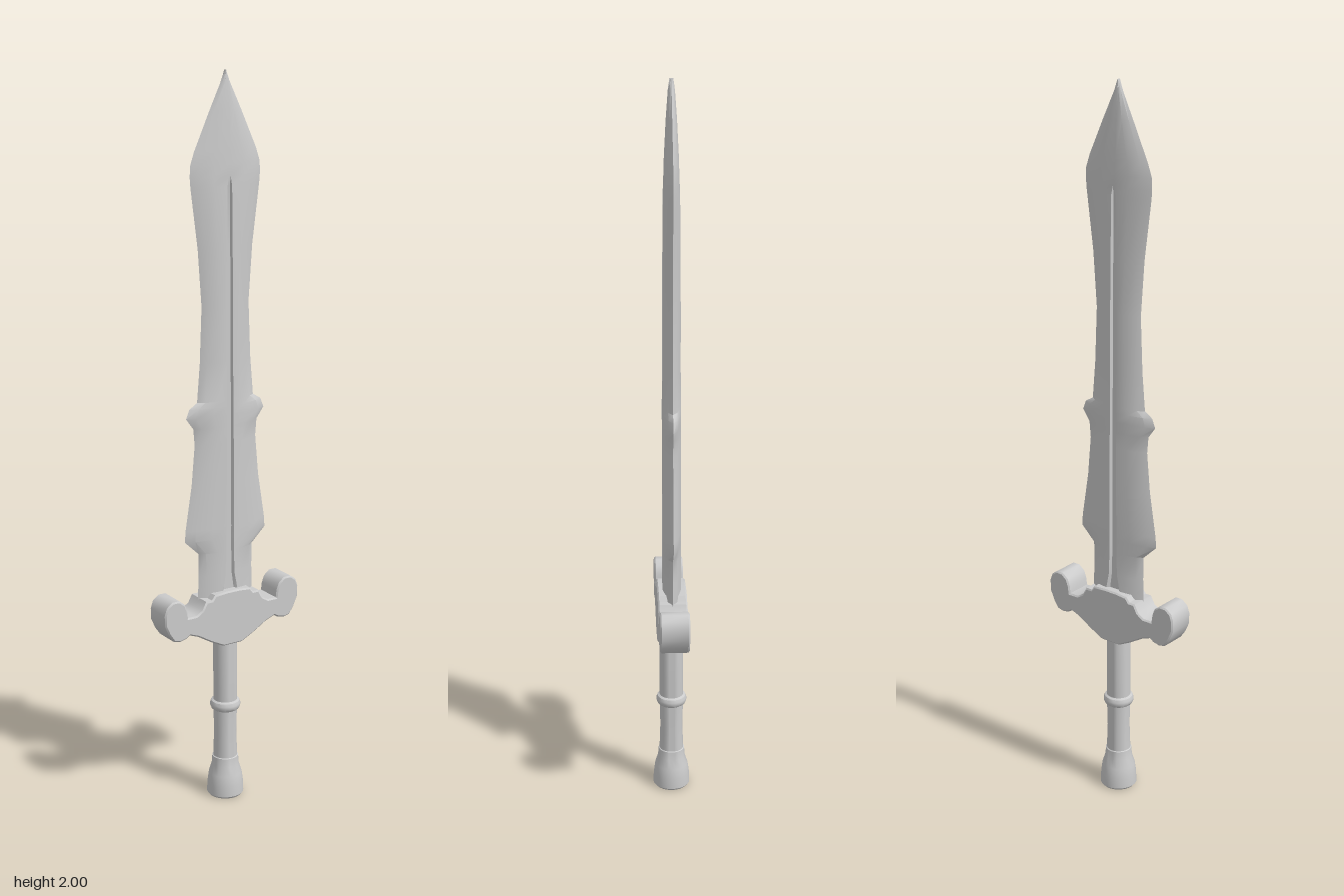
import * as THREE from 'three';
import { toCreasedNormals, mergeVertices } from 'three/addons/utils/BufferGeometryUtils.js';

const material = new THREE.MeshStandardMaterial({ color: 0xcccccc });

function addPart(group, name, geometry, crease = 0.6) {
  const mesh = new THREE.Mesh(toCreasedNormals(geometry, crease), material);
  mesh.name = name;
  group.add(mesh);
}

// Blade: lens-shaped cross-sections with a narrow fuller on both faces.
// Each row: height, half width, half thickness, fuller half width, fuller depth
function bladeGeometry() {
  const rows = [
    [0.54, 0.087, 0.025, 0.024, 0.008], [0.62, 0.087, 0.025, 0.022, 0.008],
    [0.66, 0.085, 0.025, 0.014, 0.008], [0.725, 0.086, 0.025, 0.012, 0.008],
    [0.765, 0.128, 0.025, 0.012, 0.008], [0.795, 0.126, 0.025, 0.012, 0.008],
    [0.92, 0.106, 0.025, 0.011, 0.008], [1.03, 0.096, 0.025, 0.011, 0.008],
    [1.075, 0.1, 0.025, 0.01, 0.008], [1.105, 0.122, 0.025, 0.01, 0.008],
    [1.13, 0.112, 0.025, 0.01, 0.008], [1.145, 0.088, 0.025, 0.01, 0.008],
    [1.25, 0.079, 0.024, 0.009, 0.008], [1.4, 0.073, 0.024, 0.009, 0.008],
    [1.55, 0.084, 0.023, 0.008, 0.008], [1.71, 0.105, 0.022, 0.007, 0.008],
    [1.735, 0.107, 0.021, 0.003, 0], [1.765, 0.106, 0.02, 0.003, 0],
    [1.8, 0.094, 0.019, 0.003, 0], [1.9, 0.048, 0.014, 0.003, 0],
    [1.97, 0.014, 0.009, 0.002, 0], [2.0, 0.001, 0.005, 0.0003, 0],
  ];
  const points = [], index = [];
  for (const [y, w, t, g, d] of rows) {
    const half = [[w, 0], [w * 0.8, t * 0.48], [w * 0.42, t * 0.87],
      [g, t], [g * 0.7, t - d], [-g * 0.7, t - d], [-g, t],
      [-w * 0.42, t * 0.87], [-w * 0.8, t * 0.48]];
    for (const s of [1, -1]) for (const [x, z] of half) points.push(s * x, y, s * z);
  }
  const n = 18;
  for (let i = 0; i < rows.length - 1; i++) {
    for (let j = 0; j < n; j++) {
      const a = i * n + j, b = i * n + (j + 1) % n;
      index.push(a, a + n, b, b, a + n, b + n);
    }
  }
  const top = (rows.length - 1) * n;
  for (let j = 1; j < n - 1; j++) {
    index.push(0, j, j + 1, top, top + j + 1, top + j);
  }
  const geometry = new THREE.BufferGeometry();
  geometry.setAttribute('position', new THREE.Float32BufferAttribute(points, 3));
  geometry.setIndex(index);
  return geometry;
}

// Crossguard: mirrored outline with a rounded knob at each end
function guardGeometry() {
  const right = [
    [0.03, 0.462], [0.07, 0.482], [0.11, 0.506], [0.137, 0.516], [0.15, 0.508],
    [0.168, 0.504], [0.186, 0.508], [0.2, 0.528], [0.212, 0.555], [0.213, 0.585],
    [0.206, 0.605], [0.19, 0.617], [0.17, 0.617], [0.154, 0.604], [0.147, 0.585],
    [0.144, 0.563], [0.115, 0.563], [0.095, 0.575], [0.083, 0.597], [0.065, 0.597],
    [0.055, 0.61], [0.02, 0.613],
  ];
  const left = right.map(([x, y]) => [-x, y]).reverse();
  const shape = new THREE.Shape([...right, ...left].map(([x, y]) => new THREE.Vector2(x, y)));
  const geometry = new THREE.ExtrudeGeometry(shape, {
    depth: 0.072, bevelEnabled: true, bevelThickness: 0.004, bevelSize: 0.004,
    bevelOffset: -0.002, bevelSegments: 1,
  });
  geometry.translate(0, 0, -0.036);
  geometry.deleteAttribute('uv');
  geometry.deleteAttribute('normal');
  return mergeVertices(geometry);
}

function lathe(profile, sides = 24) {
  return new THREE.LatheGeometry(profile.map(([r, y]) => new THREE.Vector2(r, y)), sides);
}

export function createModel() {
  const group = new THREE.Group();
  group.name = 'sword';
  addPart(group, 'blade', bladeGeometry(), 0.5);
  addPart(group, 'crossguard', guardGeometry(), 0.75);
  // Grip, slightly waisted below the ring
  addPart(group, 'grip', lathe([[0.034, 0.1], [0.031, 0.19], [0.033, 0.27], [0.033, 0.48]]));
  addPart(group, 'gripRing', lathe([
    [0.032, 0.255], [0.039, 0.26], [0.042, 0.268], [0.042, 0.274], [0.039, 0.282], [0.032, 0.286],
  ]));
  // Flared pommel with a shallow hollow underneath
  addPart(group, 'pommel', lathe([
    [0, 0.006], [0.034, 0.004], [0.046, 0], [0.051, 0.006], [0.05, 0.035],
    [0.046, 0.065], [0.038, 0.09], [0.036, 0.115], [0.031, 0.118],
  ]));
  return group;
}
